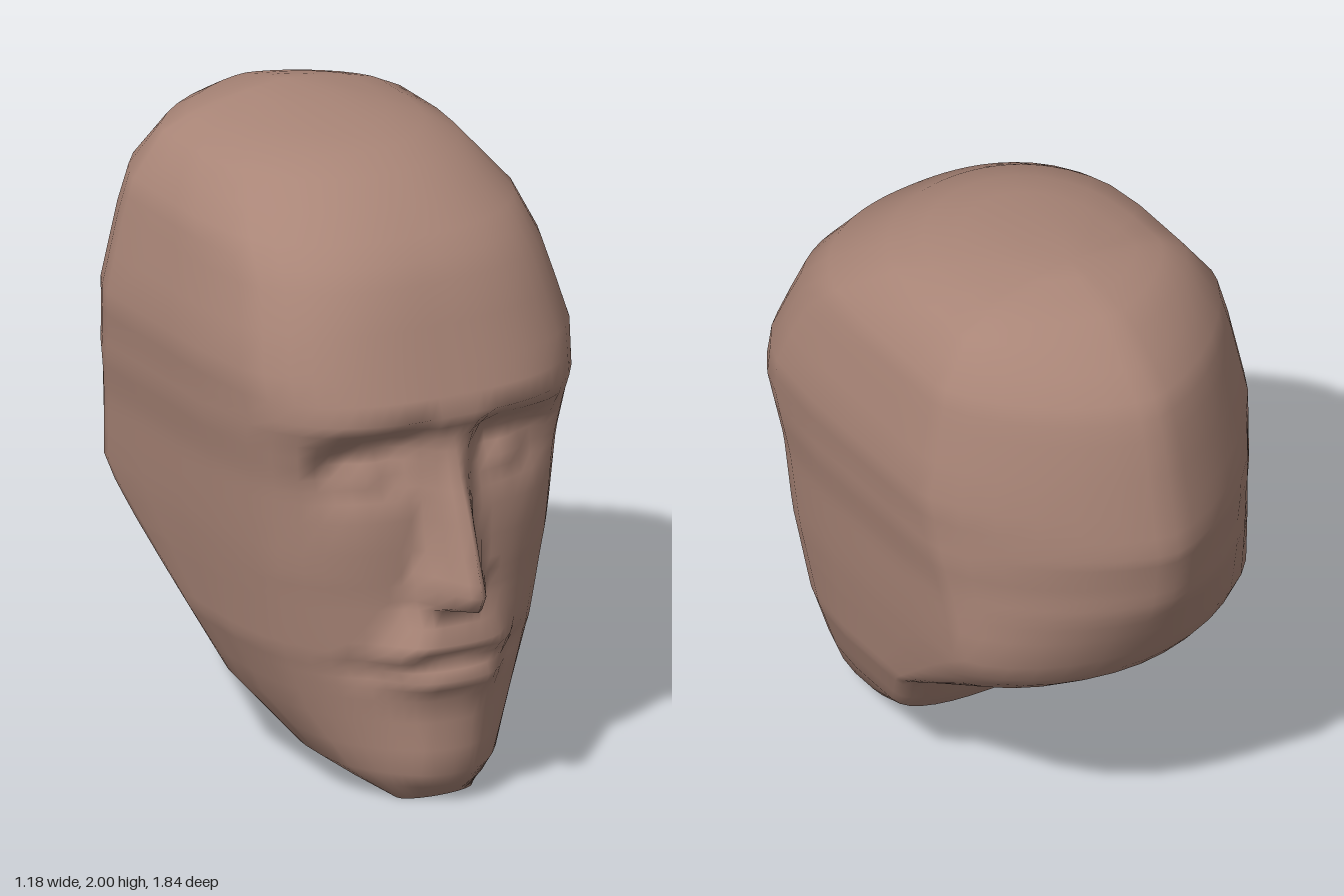
import * as THREE from 'three';

// Head outline: height, half width, front z, back z, z where the front and back curves start
const OUTLINE = [
  [0.00, 0.13, 0.66, 0.53, 0.61, 0.57],
  [0.05, 0.21, 0.70, 0.30, 0.50, 0.43],
  [0.10, 0.28, 0.73, 0.17, 0.42, 0.32],
  [0.27, 0.39, 0.725, -0.07, 0.25, 0.06],
  [0.47, 0.47, 0.72, -0.20, 0.20, -0.08],
  [0.68, 0.505, 0.70, -0.68, 0.18, -0.32],
  [0.75, 0.515, 0.70, -0.74, 0.18, -0.41],
  [0.82, 0.525, 0.70, -0.775, 0.18, -0.47],
  [1.04, 0.545, 0.70, -0.88, 0.20, -0.43],
  [1.18, 0.57, 0.73, -0.90, 0.20, -0.40],
  [1.26, 0.575, 0.775, -0.915, 0.20, -0.38],
  [1.40, 0.59, 0.72, -0.885, 0.20, -0.36],
  [1.64, 0.54, 0.625, -0.83, 0.13, -0.35],
  [1.76, 0.51, 0.53, -0.78, 0.04, -0.34],
  [1.90, 0.41, 0.34, -0.63, -0.10, -0.33],
  [1.94, 0.33, 0.23, -0.56, -0.18, -0.32],
  [1.965, 0.24, 0.11, -0.475, -0.24, -0.32],
  [1.985, 0.13, -0.14, -0.40, -0.28, -0.32],
];

// Heights of the rings, closer together at the mouth, nose and eyes
const LEVELS = [0, 0.05, 0.1, 0.18, 0.27, 0.34, 0.38, 0.41, 0.44, 0.47, 0.5, 0.53, 0.58,
  0.635, 0.66, 0.71, 0.75, 0.82, 0.92, 0.98, 1.02, 1.06, 1.1, 1.14, 1.18, 1.22, 1.26,
  1.32, 1.4, 1.52, 1.64, 1.7, 1.76, 1.83, 1.9, 1.94, 1.965, 1.985];

// Squareness of the front and back curves by height
const FRONT_POWER = [[0, 2], [0.1, 1.9], [0.45, 2.1], [0.75, 2.6], [1.26, 2.7], [1.6, 2.6], [1.9, 2.1]];
const BACK_POWER = [[0.3, 2.5], [0.5, 2.2], [0.7, 1.9], [0.85, 1.7], [1.1, 1.5]];

// Forward reach and half width by height of the nose, the mouth and the eye sockets
const NOSE = [[0.64, 0.02], [0.66, 0.19], [0.71, 0.22], [0.83, 0.18], [1, 0.11], [1.16, 0.02], [1.22, 0]];
const NOSE_WIDTH = [[0.64, 0.12], [0.71, 0.13], [0.83, 0.09], [1.16, 0.075]];
const LIPS = [[0, 0], [0.1, 0.025], [0.34, 0.025], [0.41, 0.07], [0.47, 0.03], [0.53, 0.085], [0.58, 0.055], [0.65, 0.06], [0.7, 0]];
const LIPS_WIDTH = [[0.1, 0.2], [0.36, 0.2], [0.46, 0.28], [0.54, 0.24], [0.66, 0.14]];
const SOCKET = [[0.95, 0], [1.02, -0.035], [1.06, -0.06], [1.12, -0.1], [1.16, -0.085], [1.25, 0]];
const SOCKET_ACROSS = [[0.06, 0], [0.15, 1], [0.32, 1], [0.44, 0]];

// Linear reading of a table whose first column is ascending
function read(table, t, column = 1) {
  if (t <= table[0][0]) return table[0][column];
  for (let i = 1; i < table.length; i++) {
    const a = table[i - 1], b = table[i];
    if (t <= b[0]) return a[column] + (b[column] - a[column]) * (t - a[0]) / (b[0] - a[0]);
  }
  return table[table.length - 1][column];
}

// Relief of the face added to the front of the head
function relief(x, y) {
  const wing = read(NOSE_WIDTH, y);
  const nose = y < 0.64 ? 0 : read(NOSE, y) * THREE.MathUtils.clamp((wing - x) / (wing - 0.012), 0, 1);
  const lipY = y + 0.04 * Math.min(1, (x / 0.25) ** 2);
  const lips = read(LIPS, lipY) * THREE.MathUtils.clamp((read(LIPS_WIDTH, y) - x) / 0.11, 0, 1);
  const corner = -0.03 * Math.max(0, 1 - Math.hypot((x - 0.25) / 0.09, (y - 0.45) / 0.06));
  const socket = read(SOCKET, y + 0.15 * (x - 0.2)) * read(SOCKET_ACROSS, x);
  const eye = 0.035 * Math.max(0, 1 - ((x - 0.25) / 0.11) ** 2 - ((y - 1.07) / 0.055) ** 2);
  return Math.max(nose, lips) + corner + socket + eye;
}

const FRONT = [0, 0.05, 0.1, 0.16, 0.23, 0.3, 0.38, 0.46, 0.54, 0.63, 0.72, 0.81, 0.9, 0.96, 1];

// Half cross-section from the middle of the face round to the middle of the back
function halfSection(y) {
  const [w, front, back, z1, z2] = [1, 2, 3, 4, 5].map((c) => read(OUTLINE, y, c));
  const f = read(FRONT_POWER, y), n = read(BACK_POWER, y);
  const points = FRONT.map((s) => {
    const bend = Math.pow(1 - Math.pow(s, f), 1 / f);
    return [w * s, z1 + (front - z1) * bend + relief(w * s, y)];
  });
  for (const t of [0.33, 0.67]) points.push([w, z1 + (z2 - z1) * t]);
  for (let i = 0; i <= 8; i++) {
    const a = (i / 8) * Math.PI / 2;
    const x = i === 8 ? 0 : w * Math.pow(Math.cos(a), 2 / n);
    points.push([x, z2 + (back - z2) * Math.pow(Math.sin(a), 2 / n)]);
  }
  return points;
}

function headGeometry() {
  const positions = [], index = [];
  let count = 0;
  for (const y of LEVELS) {
    const half = halfSection(y);
    const mirrored = half.slice(1, -1).reverse().map(([x, z]) => [-x, z]);
    const ring = [...half, ...mirrored];
    count = ring.length;
    for (const [x, z] of ring) positions.push(x, y, z);
  }
  const rings = LEVELS.length;
  const under = rings * count, crown = under + 1;
  positions.push(0, 0, 0.6, 0, 2, -0.32);
  for (let i = 0; i < count; i++) {
    const j = (i + 1) % count;
    for (let r = 0; r < rings - 1; r++) {
      const a = r * count + i, b = r * count + j;
      index.push(a, b, b + count, a, b + count, a + count);
    }
    // close the chin and the crown
    index.push(under, j, i);
    index.push(crown, (rings - 1) * count + i, (rings - 1) * count + j);
  }
  const geometry = new THREE.BufferGeometry();
  geometry.setAttribute('position', new THREE.Float32BufferAttribute(positions, 3));
  geometry.setIndex(index);
  geometry.computeVertexNormals();
  return geometry;
}

export function createModel() {
  const skin = new THREE.MeshStandardMaterial({ color: 0xa98577 });
  skin.name = 'skin';
  const head = new THREE.Mesh(headGeometry(), skin);
  head.name = 'head';
  const model = new THREE.Group();
  model.name = 'headModel';
  model.add(head);
  return model;
}
